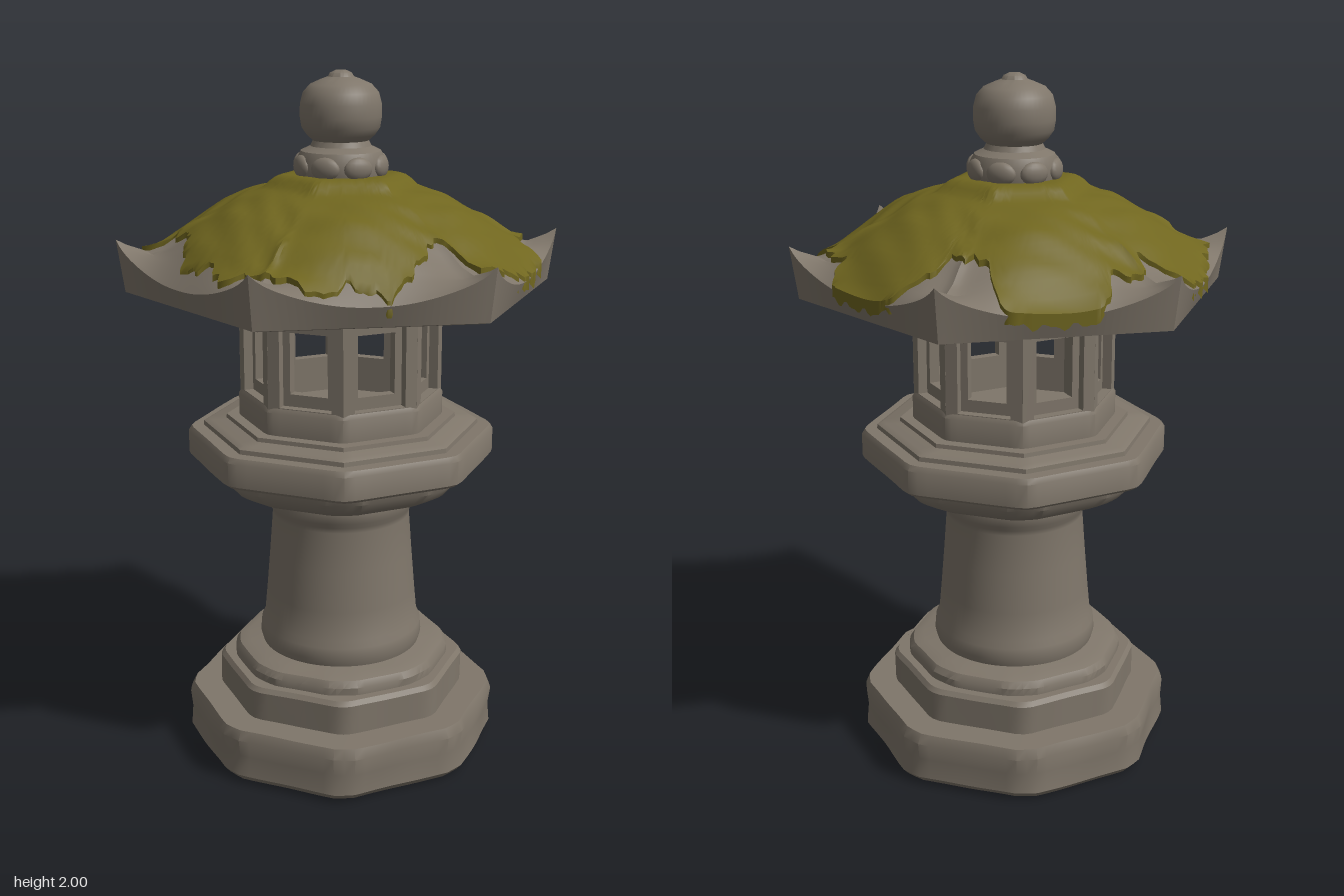
import * as THREE from 'three';
import { toCreasedNormals } from 'three/addons/utils/BufferGeometryUtils.js';

const stone = new THREE.MeshStandardMaterial({ color: 0x7f766a });
stone.name = 'weathered stone';
const moss = new THREE.MeshStandardMaterial({ color: 0x70661f, side: THREE.DoubleSide });
moss.name = 'moss';

const TAU = Math.PI * 2;
const lerp = THREE.MathUtils.lerp;

// Angle from the middle of the nearest side of an n-sided polygon (flat side towards +x)
function sideOffset(a, n) {
  const s = TAU / n;
  return a - Math.round(a / s) * s;
}
// Distance to a polygon's edge at an angle, for an apothem of 1, with worn corners
const polygon = (n, worn = 9) => (a) => Math.min(1 / Math.cos(sideOffset(a, n)), worn);

// Closed skin through rings, listed from bottom to top
function skin(count, segs, pointAt, crease = 0.6) {
  const pos = [], idx = [];
  for (let i = 0; i < count; i++)
    for (let j = 0; j < segs; j++) pos.push(...pointAt(i, (j / segs) * TAU));
  for (let i = 0; i < count - 1; i++)
    for (let j = 0; j < segs; j++) {
      const k = (j + 1) % segs, a = i * segs + j, b = i * segs + k;
      idx.push(a, a + segs, b, b, a + segs, b + segs);
    }
  const g = new THREE.BufferGeometry();
  g.setAttribute('position', new THREE.Float32BufferAttribute(pos, 3));
  g.setIndex(idx);
  return toCreasedNormals(g, crease);
}

// Stone block with a [radius, y] profile, a plan shape and slight chiselled unevenness
function block(profile, plan, rough = 0, segs = 96) {
  return skin(profile.length, segs, (i, a) => {
    const [r, y] = profile[i];
    const wob = 1 + rough * (Math.sin(a * 5 + 1 + y * 9) + 0.6 * Math.sin(a * 11 + y * 23));
    const d = r * plan(a) * wob;
    return [d * Math.cos(a), y, d * Math.sin(a)];
  });
}

// Piecewise linear lookup in [x, y] pairs
function lookup(table, x) {
  for (let i = 1; i < table.length; i++)
    if (x <= table[i][0]) {
      const [x0, y0] = table[i - 1], [x1, y1] = table[i];
      return lerp(y0, y1, Math.max(0, (x - x0) / (x1 - x0)));
    }
  return table[table.length - 1][1];
}

// Roof height along the middle of a side and along a corner ridge
const sideLine = [[0, 1.71], [0.15, 1.705], [0.168, 1.695], [0.19, 1.675], [0.25, 1.66], [0.35, 1.62], [0.45, 1.55], [0.52, 1.48], [0.545, 1.455]];
const cornerLine = [[0, 1.71], [0.15, 1.705], [0.168, 1.695], [0.19, 1.67], [0.25, 1.645], [0.35, 1.575], [0.43, 1.51], [0.47, 1.495], [0.52, 1.515], [0.545, 1.53]];
const hex = polygon(6);
function roofHeight(ap, a) {
  const c = Math.abs(sideOffset(a, 6)) / (Math.PI / 6);
  const ridge = 0.018 * Math.pow(c, 14) * THREE.MathUtils.smoothstep(ap, 0.25, 0.42);
  return lerp(sideLine && lookup(sideLine, ap), lookup(cornerLine, ap), Math.pow(c, 2.2)) + ridge;
}

function roofGeometry() {
  const rings = [[0, 1.4], [0.25, 1.4], [0.5, 1.392], [0.527, 1.4]];
  for (const ap of [0.545, 0.535, 0.52, 0.495, 0.47, 0.45, 0.43, 0.39, 0.35, 0.3, 0.25, 0.19, 0.168, 0.15, 0]) rings.push([ap, null]);
  return skin(rings.length, 240, (i, a) => {
    const [ap, y] = rings[i], d = ap * hex(a);
    return [d * Math.cos(a), y ?? roofHeight(ap, a), d * Math.sin(a)];
  });
}

// Outline of the moss seen from above, as [x, z]
const mossEdge = [
  [0.54, 0.03], [0.51, 0.15], [0.48, 0.22], [0.4, 0.21], [0.34, 0.21], [0.34, 0.32], [0.31, 0.44], [0.2, 0.46],
  [0.14, 0.54], [0.06, 0.52], [0, 0.53], [-0.06, 0.52], [-0.12, 0.54], [-0.18, 0.45], [-0.28, 0.43], [-0.33, 0.28],
  [-0.41, 0.22], [-0.5, 0.23], [-0.52, 0.13], [-0.545, 0], [-0.53, -0.16], [-0.4, -0.18], [-0.44, -0.27], [-0.36, -0.31],
  [-0.38, -0.42], [-0.16, -0.54], [-0.1, -0.49], [-0.07, -0.42], [0.04, -0.42], [0.07, -0.47], [0.18, -0.54], [0.38, -0.41],
  [0.37, -0.33], [0.45, -0.27], [0.46, -0.18], [0.54, -0.15]
];
function mossGeometry() {
  const table = mossEdge.map(([x, z]) => [(Math.atan2(z, x) + TAU) % TAU, Math.hypot(x, z)]).sort((p, q) => p[0] - q[0]);
  const first = table[0], last = table[table.length - 1];
  table.unshift([last[0] - TAU, last[1]]);
  table.push([first[0] + TAU, first[1]]);
  const N = 24;
  return skin(N + 2, 300, (i, a) => {
    const jag = 0.007 * Math.sin(a * 47) + 0.005 * Math.sin(a * 83 + 2);
    const limit = Math.min(lookup(table, a) / hex(a) + jag, 0.55);
    const t = Math.max(0, i - 1) / N;
    const ap = lerp(limit, 0.1, t);
    let y = roofHeight(Math.min(ap, 0.545), a) + 0.013;
    // Soft folds in the moss
    y += 0.005 * Math.sin(a * 9 + ap * 20) * Math.sin(ap * 40 + a * 3) * THREE.MathUtils.smoothstep(ap, 0.18, 0.3);
    // Edge tucks into the stone, or hangs over the eave
    if (i === 0) y -= limit > 0.525 ? 0.035 + jag : 0.022;
    const d = ap * hex(a);
    return [d * Math.cos(a), y, d * Math.sin(a)];
  }, 0.9);
}

// Wall panel with a rectangular opening
function panel(halfW, y0, y1, hole, depth) {
  const s = new THREE.Shape();
  s.moveTo(-halfW, y0).lineTo(halfW, y0).lineTo(halfW, y1).lineTo(-halfW, y1).closePath();
  const [w, b, t] = hole, h = new THREE.Path();
  h.moveTo(-w, b).lineTo(-w, t).lineTo(w, t).lineTo(w, b).closePath();
  s.holes.push(h);
  return new THREE.ExtrudeGeometry(s, { depth, bevelEnabled: false });
}

export function createModel() {
  const group = new THREE.Group();
  const add = (name, geometry, material = stone, parent = group) => {
    const m = new THREE.Mesh(geometry, material);
    m.name = name;
    parent.add(m);
    return m;
  };
  const round = () => 1;

  // Stepped foot
  add('base', block([[0, 0.005], [0.42, 0.01], [0.437, 0.03], [0.432, 0.09], [0.437, 0.14], [0.425, 0.168], [0, 0.172]], polygon(8, 1.055), 0.006));
  add('secondStep', block([[0, 0.16], [0.345, 0.165], [0.345, 0.255], [0.335, 0.268], [0, 0.272]], polygon(8, 1.065), 0.003));
  add('thirdStep', block([[0, 0.26], [0.312, 0.265], [0.312, 0.29], [0.3, 0.308], [0.27, 0.318], [0, 0.32]], polygon(8, 1.03), 0.003));

  // Tapered pillar with a band at each end
  add('pillar', block([[0, 0.31], [0.236, 0.315], [0.243, 0.34], [0.24, 0.375], [0.23, 0.395], [0.222, 0.48], [0.212, 0.6],
    [0.203, 0.72], [0.204, 0.735], [0.216, 0.752], [0.218, 0.79], [0.21, 0.81], [0, 0.82]], round));

  // Platform with a bowl-shaped underside
  add('platformBowl', block([[0, 0.805], [0.26, 0.808], [0.3, 0.815], [0.345, 0.84], [0.37, 0.87], [0.375, 0.91], [0, 0.92]], polygon(8, 1.04)));
  add('platformSlab', block([[0, 0.893], [0.405, 0.896], [0.417, 0.906], [0.417, 0.972], [0.408, 0.987], [0, 0.99]], polygon(8, 1.07), 0.002));
  add('platformStep', block([[0, 0.98], [0.372, 0.982], [0.37, 1.0], [0.355, 1.008], [0, 1.01]], polygon(8)));
  add('platformTop', block([[0, 1.0], [0.31, 1.005], [0.308, 1.02], [0, 1.025]], polygon(8)));

  // Hollow light chamber: eight framed windows
  const chamber = new THREE.Group();
  chamber.name = 'lightChamber';
  group.add(chamber);
  const wall = panel(0.112, 1.02, 1.4, [0.077, 1.1, 1.335], 0.028);
  const frame = panel(0.1, 1.03, 1.4, [0.056, 1.135, 1.31], 0.03);
  for (let i = 0; i < 8; i++) {
    const side = new THREE.Group();
    side.name = 'windowSide';
    side.rotation.y = (i * TAU) / 8;
    add('wall', wall, stone, side).position.z = 0.242;
    add('windowFrame', frame, stone, side).position.z = 0.213;
    chamber.add(side);
  }
  add('chamberSill', block([[0.24, 1.02], [0.277, 1.02], [0.277, 1.085], [0.27, 1.098], [0.24, 1.1]], polygon(8, 1.07)), stone, chamber);

  // Six-sided roof with raised corners, and its moss
  add('roof', roofGeometry());
  add('roofMoss', mossGeometry(), moss);

  // Finial: petalled collar and bud
  add('finial', block([[0, 1.69], [0.118, 1.7], [0.124, 1.725], [0.124, 1.76], [0.112, 1.782], [0.085, 1.795], [0.078, 1.81],
    [0.095, 1.825], [0.109, 1.845], [0.114, 1.875], [0.113, 1.91], [0.105, 1.94], [0.085, 1.962], [0.055, 1.975],
    [0.036, 1.982], [0.03, 1.992], [0.015, 1.999], [0, 2]], round, 0, 48));
  const petal = new THREE.SphereGeometry(1, 16, 10);
  for (let i = 0; i < 8; i++) {
    const a = (i * TAU) / 8, p = add('petal', petal);
    p.scale.set(0.042, 0.032, 0.02);
    p.position.set(0.117 * Math.sin(a), 1.742, 0.117 * Math.cos(a));
    p.rotation.y = a;
  }
  return group;
}
